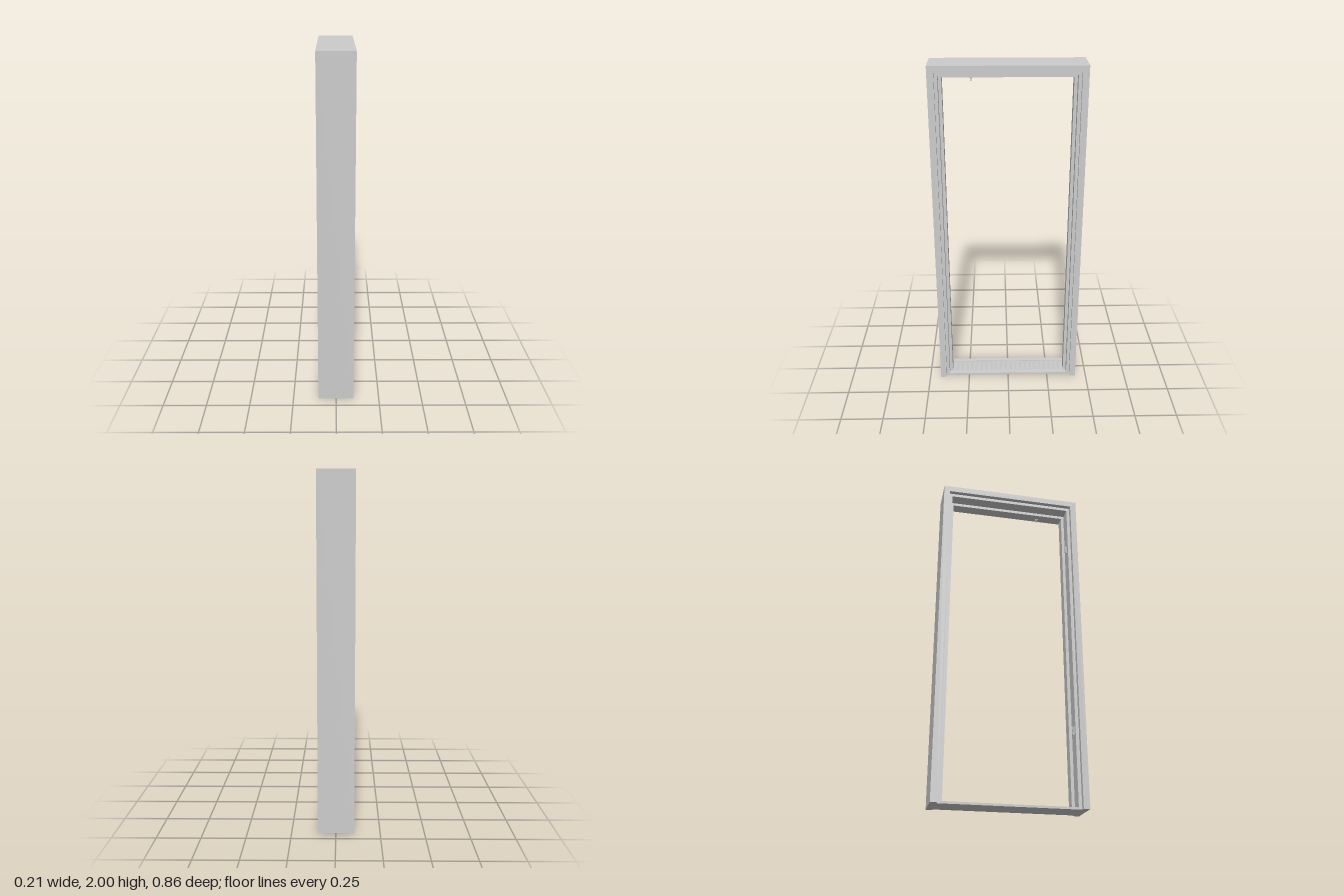
import * as THREE from 'three';

const HALF = 0.432, TOP = 2;
const material = new THREE.MeshStandardMaterial({ color: 0xcccccc, flatShading: true });

function add(parent, name, geometry, x = 0, y = 0, z = 0) {
  const mesh = new THREE.Mesh(geometry, material);
  mesh.name = name;
  mesh.position.set(x, y, z);
  parent.add(mesh);
  return mesh;
}

const box = (w, h, d) => new THREE.BoxGeometry(w, h, d);

// Stepped section: x across the wall, d inward from the outer edge
const section = [
  [-0.104, 0], [0.102, 0], [0.102, 0.037], [0.083, 0.037], [0.083, 0.056],
  [0.046, 0.056], [0.046, 0.074], [-0.008, 0.074], [-0.008, 0.056],
  [-0.078, 0.056], [-0.078, 0.037], [-0.104, 0.037],
];

// Sweep the section up one jamb, across the head and down the other, with mitred corners
function frameGeometry() {
  const stations = [
    ([x, d]) => [x, 0, -HALF + d],
    ([x, d]) => [x, TOP - d, -HALF + d],
    ([x, d]) => [x, TOP - d, HALF - d],
    ([x, d]) => [x, 0, HALF - d],
  ];
  const positions = [];
  const triangle = (...corners) => corners.forEach((p) => positions.push(...p));
  for (let s = 0; s < 3; s++) {
    section.forEach((p, i) => {
      const q = section[(i + 1) % section.length];
      const a = stations[s](p), b = stations[s](q);
      const c = stations[s + 1](q), d = stations[s + 1](p);
      triangle(a, c, b);
      triangle(a, d, c);
    });
  }
  // Feet of the jambs
  const outline = section.map(([x, d]) => new THREE.Vector2(x, d));
  for (const [i, j, k] of THREE.ShapeUtils.triangulateShape(outline, [])) {
    const [p, q, r] = [section[i], section[j], section[k]];
    triangle(stations[0](p), stations[0](q), stations[0](r));
    triangle(stations[3](p), stations[3](r), stations[3](q));
  }
  const geometry = new THREE.BufferGeometry();
  geometry.setAttribute('position', new THREE.Float32BufferAttribute(positions, 3));
  geometry.computeVertexNormals();
  return geometry;
}

// Threshold: base plate, two edge rails and a row of ridges between them
function threshold() {
  const group = new THREE.Group();
  group.name = 'threshold';
  const length = 2 * (HALF - 0.055);
  add(group, 'thresholdPlate', box(0.161, 0.007, length), 0.0025, 0.0035, 0);
  add(group, 'frontRail', box(0.033, 0.006, length), 0.0665, 0.0095, 0);
  add(group, 'backRail', box(0.028, 0.006, length), -0.064, 0.0095, 0);
  const count = 24, pitch = length / count;
  const ridge = new THREE.Shape([
    new THREE.Vector2(-pitch * 0.35, 0),
    new THREE.Vector2(pitch * 0.35, 0),
    new THREE.Vector2(0, 0.005),
  ]);
  const geometry = new THREE.ExtrudeGeometry(ridge, { depth: 0.1, bevelEnabled: false });
  geometry.rotateY(Math.PI / 2);
  for (let i = 0; i < count; i++) {
    add(group, 'treadRidge', geometry, -0.05, 0.007, (i + 0.5) * pitch - length / 2);
  }
  return group;
}

// Hinge: a leaf on the rebate with a pin and two knuckles
function hinge(y) {
  const group = new THREE.Group();
  group.name = 'hinge';
  group.position.set(-0.05, y, HALF - 0.056);
  add(group, 'hingeLeaf', box(0.014, 0.056, 0.003), 0, 0, -0.0015);
  add(group, 'hingePin', new THREE.CylinderGeometry(0.003, 0.003, 0.05, 10), 0, 0, -0.006);
  for (const side of [-1, 1]) {
    add(group, 'hingeKnuckle', new THREE.CylinderGeometry(0.005, 0.005, 0.012, 10), 0, side * 0.014, -0.006);
  }
  return group;
}

// Small catch under the head
function headCatch() {
  const group = new THREE.Group();
  group.name = 'headCatch';
  group.position.set(0.036, TOP - 0.074, 0.2);
  add(group, 'catchPlate', box(0.014, 0.004, 0.02), 0, -0.002, 0);
  add(group, 'catchStem', new THREE.CylinderGeometry(0.003, 0.003, 0.012, 10), 0, -0.009, 0);
  add(group, 'catchTip', new THREE.SphereGeometry(0.005, 10, 8), 0, -0.014, 0);
  return group;
}

export function createModel() {
  const model = new THREE.Group();
  model.name = 'doorFrame';
  add(model, 'frame', frameGeometry());
  model.add(threshold(), hinge(0.45), hinge(1.66), headCatch());
  return model;
}
